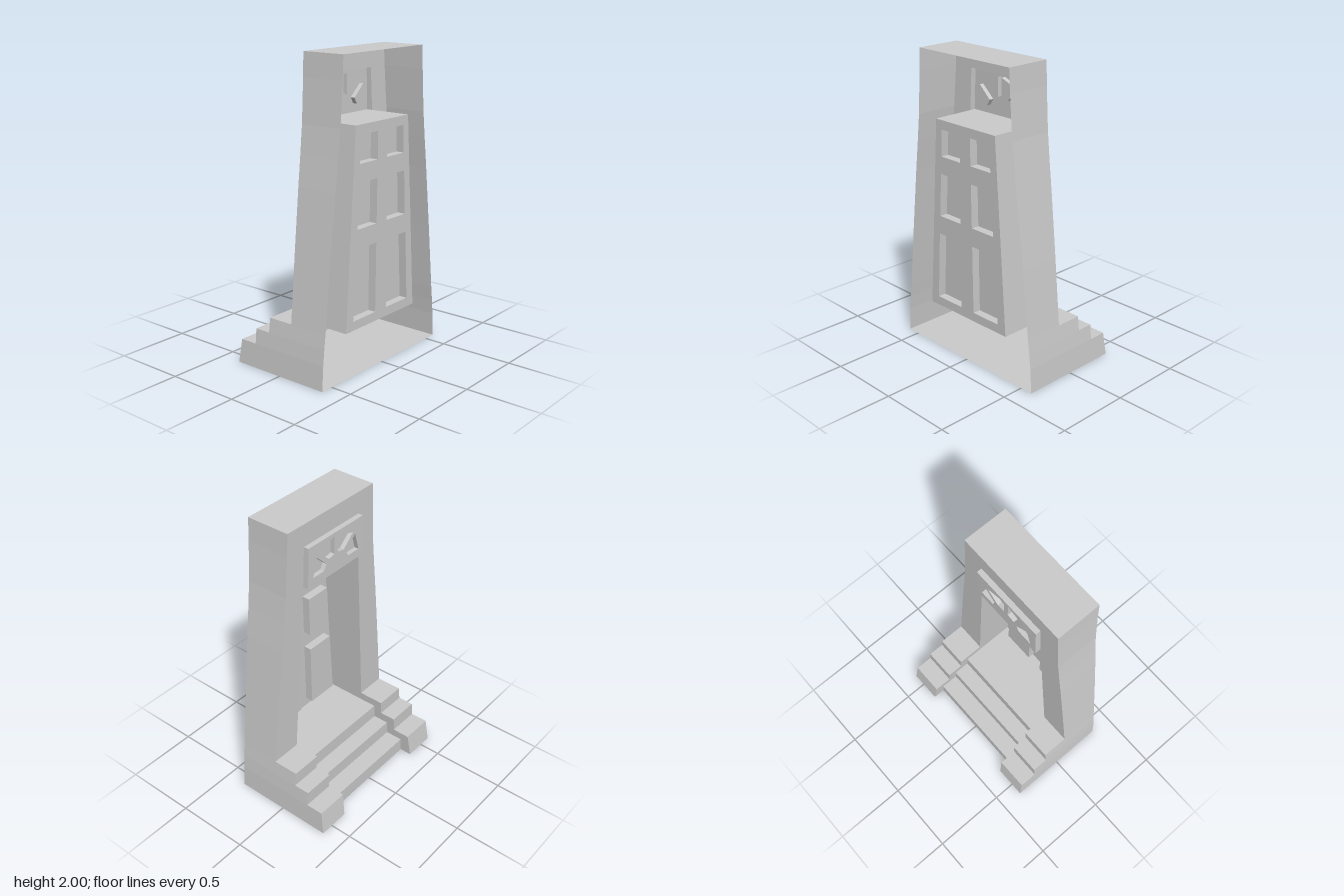
import * as THREE from 'three';
import { mergeGeometries } from 'three/addons/utils/BufferGeometryUtils.js';

const material = new THREE.MeshStandardMaterial({ color: 0xcccccc, flatShading: true, side: THREE.DoubleSide });

const BACK = 0.352, DOOR_Z = 0.342, SILL = 0.295, LINTEL = 1.575, FAN_TOP = 1.85, FAN_Z = 0.018;

// Outer half width, flaring towards the ground
const flare = [[0, 0.587], [0.16, 0.577], [0.26, 0.567], [0.355, 0.555], [0.8, 0.507], [1.2, 0.461], [1.4, 0.436], [1.575, 0.416], [1.85, 0.397], [2, 0.39]];
function outerX(y) {
  for (let i = 1; i < flare.length; i++) {
    const [y0, x0] = flare[i - 1], [y1, x1] = flare[i];
    if (y <= y1) return x0 + (x1 - x0) * (y - y0) / (y1 - y0);
  }
  return 0.39;
}
// Half width of the doorway, and of the fanlight above it
const innerX = y => y <= LINTEL ? 0.37 - 0.0686 * y : 0.262 - 0.036 * (y - LINTEL);
// Leaning facade plane
const facadeZ = y => 0.083 - 0.0165 * y;

// Side block bands: y0, y1, front z at y0 and y1
const blockBands = [[0, 0.16, -0.352, -0.33], [0.16, 0.26, -0.21, -0.21], [0.26, 0.355, -0.1, -0.1]];
const facadeYs = [0.355, 0.8, 1.2, 1.4, LINTEL, FAN_TOP, 2];
const wallBands = [...blockBands];
for (let i = 1; i < facadeYs.length; i++) {
  const a = facadeYs[i - 1], b = facadeYs[i];
  wallBands.push([a, b, facadeZ(a), facadeZ(b)]);
}
// Middle steps: y0, y1, front z
const steps = [[0, 0.1, -0.27], [0.1, 0.195, -0.15], [0.195, SILL, -0.04]];

// Geometry from quads; each quad on +x is repeated on -x
function mirroredQuads(quads) {
  const pos = [];
  const add = (a, b, c, d) => pos.push(...a, ...b, ...c, ...a, ...c, ...d);
  for (const q of quads) {
    add(...q);
    add(...q.map(([x, y, z]) => [-x, y, z]).reverse());
  }
  const g = new THREE.BufferGeometry();
  g.setAttribute('position', new THREE.Float32BufferAttribute(pos, 3));
  g.computeVertexNormals();
  return g;
}

// Quads seen from the street (-z), from above, and across the x axis
const facing = (y0, y1, z0, z1, i0, i1, o0, o1) => [[o0, y0, z0], [i0, y0, z0], [i1, y1, z1], [o1, y1, z1]];
const level = (y, xi, xo, z0, z1) => [[xi, y, z1], [xo, y, z1], [xo, y, z0], [xi, y, z0]];
const sideways = (y0, y1, x0, x1, f0, f1, b0, b1) => [[x0, y0, b0], [x0, y0, f0], [x1, y1, f1], [x1, y1, b1]];

// Flat sheet facing -z with pockets pushed (+) or panels raised (-) by depth
function embossed(outline, pockets, z, depth) {
  const toV = p => p.map(([x, y]) => new THREE.Vector2(x, y));
  const all = [...pockets, ...pockets.map(p => p.map(([x, y]) => [-x, y]).reverse())];
  const sheet = new THREE.Shape(toV([...outline, ...outline.map(([x, y]) => [-x, y]).reverse()]));
  sheet.holes = all.map(p => new THREE.Path(toV(p)));
  const flat = (shape, at) => {
    const g = new THREE.ShapeGeometry(shape).rotateY(Math.PI).translate(0, 0, at).toNonIndexed();
    g.deleteAttribute('uv');
    return g;
  };
  const walls = pockets.flatMap(p => p.map(([x, y], i) => {
    const [u, v] = p[(i + 1) % p.length];
    return [[x, y, z], [u, v, z], [u, v, z + depth], [x, y, z + depth]];
  }));
  return mergeGeometries([flat(sheet, z), ...all.map(p => flat(new THREE.Shape(toV(p)), z + depth)), mirroredQuads(walls)]);
}

export function createModel() {
  const model = new THREE.Group();
  model.name = 'doorway';
  const add = (name, geometry) => {
    const mesh = new THREE.Mesh(geometry, material);
    mesh.name = name;
    model.add(mesh);
  };

  // Outer walls, from the back edge to the stepped front
  add('sideWalls', mirroredQuads(wallBands.map(([a, b, f0, f1]) =>
    sideways(a, b, outerX(a), outerX(b), f0, f1, BACK, BACK))));

  // Facade around the doorway and fanlight
  add('facade', mirroredQuads(wallBands.slice(3).map(([a, b, f0, f1]) => {
    const solid = a >= FAN_TOP;
    return facing(a, b, f0, f1, solid ? 0 : innerX(a + 1e-6), solid ? 0 : innerX(b), outerX(a), outerX(b));
  })));

  // Stepped blocks flanking the stairs
  add('sideBlocks', mirroredQuads(blockBands.flatMap(([a, b, f0, f1], i) => {
    const next = i < 2 ? blockBands[i + 1][2] : facadeZ(b);
    return [
      facing(a, b, f0, f1, innerX(a), innerX(b), outerX(a), outerX(b)),
      level(b, innerX(b), outerX(b), f1, next),
    ];
  })));

  // Inner cheeks of the blocks and the door jambs
  const cheekYs = [0, 0.1, 0.16, 0.195, 0.26, SILL, 0.355, LINTEL];
  add('jambs', mirroredQuads(cheekYs.slice(1).map((b, i) => {
    const a = cheekYs[i], mid = (a + b) / 2;
    const [y0, y1, f0, f1] = wallBands.find(w => mid < w[1]);
    const step = steps.find(s => mid < s[1]);
    const back = step ? step[2] : DOOR_Z;
    const front = y => b > 0.36 ? facadeZ(y) : f0 + (f1 - f0) * (y - y0) / (y1 - y0);
    return sideways(a, b, innerX(a), innerX(b), front(a), front(b), back, back).reverse();
  })));

  // Middle stairs with the landing in front of the door
  add('stairs', mirroredQuads(steps.flatMap(([a, b, z], i) => [
    facing(a, b, z, z, 0, 0, innerX(a), innerX(b)),
    level(b, 0, innerX(b), z, i < 2 ? steps[i + 1][2] : DOOR_Z),
  ])));

  // Underside and top
  add('base', mirroredQuads([
    level(0, innerX(0), outerX(0), -0.352, BACK).reverse(),
    level(0, 0, innerX(0), -0.27, BACK).reverse(),
  ]));
  add('top', mirroredQuads([level(2, 0, outerX(2), facadeZ(2), BACK)]));

  // Door with six raised panels: y0, y1, inner and outer x at y0, then at y1
  const panels = [
    [0.355, 0.812, 0.058, 0.28, 0.053, 0.255],
    [0.935, 1.222, 0.052, 0.244, 0.048, 0.23],
    [1.338, 1.514, 0.047, 0.222, 0.045, 0.213],
  ].map(([a, b, i0, o0, i1, o1]) => [[i0, a], [o0, a], [o1, b], [i1, b]]);
  add('door', embossed([[innerX(SILL), SILL], [innerX(LINTEL), LINTEL]], panels, DOOR_Z, -0.055));

  // Fanlight with sunk panes
  const panes = [
    [[0.115, 1.632], [0.214, 1.632], [0.18, 1.755], [0.092, 1.672]],
    [[0.016, 1.705], [0.07, 1.695], [0.158, 1.772], [0.016, 1.83]],
  ];
  add('fanlight', embossed([[0.262, LINTEL], [0.252, FAN_TOP]], panes, FAN_Z, 0.03));

  // Edges of the fanlight and the soffit over the door
  add('fanlightFrame', mirroredQuads([
    sideways(LINTEL, FAN_TOP, 0.262, 0.252, FAN_Z, FAN_Z, facadeZ(LINTEL), facadeZ(FAN_TOP)),
    level(FAN_TOP, 0, 0.252, FAN_Z, facadeZ(FAN_TOP)),
    level(LINTEL, 0, 0.262, FAN_Z, DOOR_Z).reverse(),
  ]));

  return model;
}
